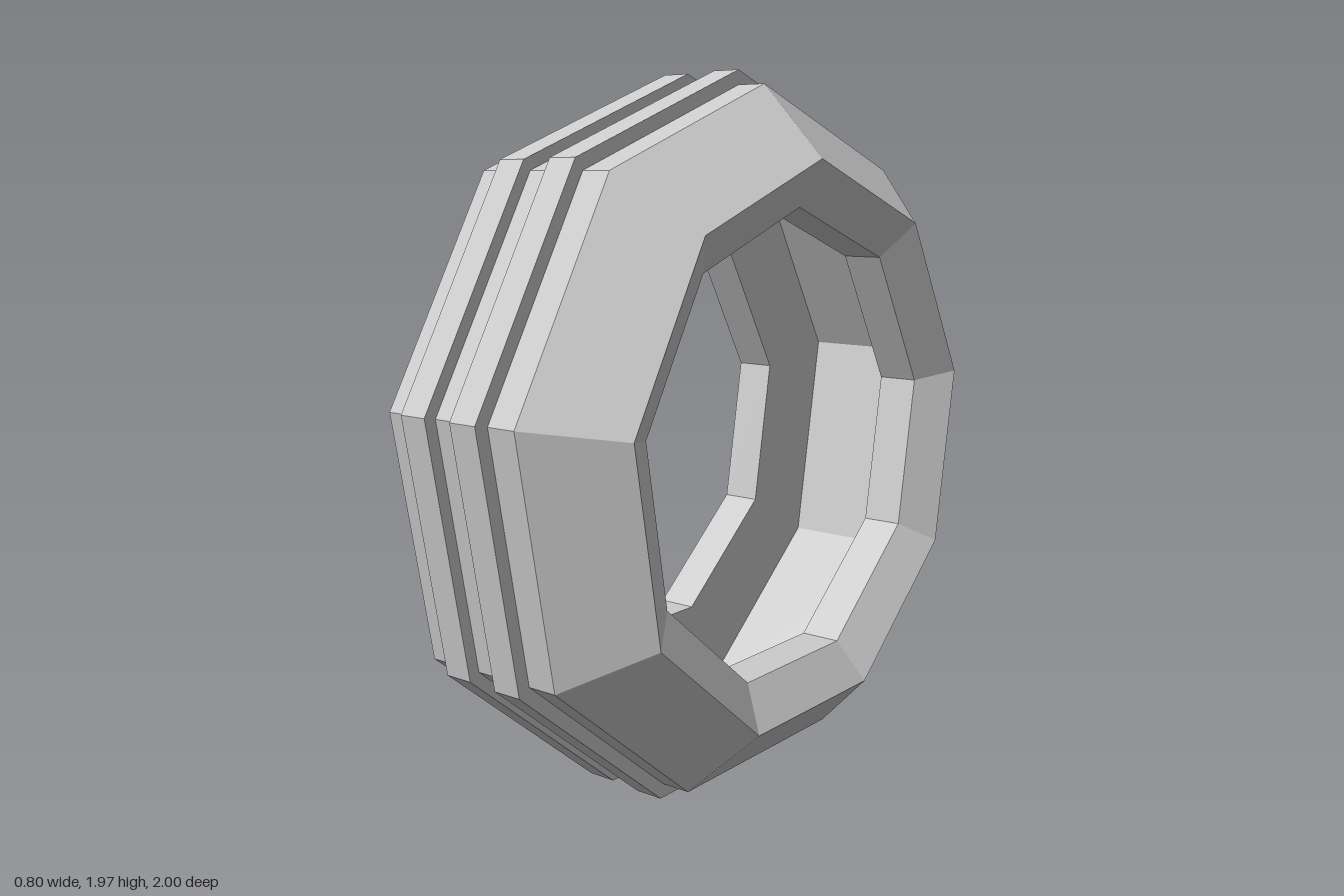
import * as THREE from 'three';

const SIDES = 9;
const CENTRE_Y = 0.954;

// Nine-sided ring around the x axis with one corner on top.
// profile: closed loop of [radius, x], outer side running towards +x.
function ring(name, profile, material) {
  const points = [...profile, profile[0]].map(([r, x]) => new THREE.Vector2(r, x));
  const geometry = new THREE.LatheGeometry(points, SIDES);
  // turn the lathe axis from y to x, and its first corner from z to y
  geometry.applyMatrix4(new THREE.Matrix4().makeBasis(
    new THREE.Vector3(0, 0, 1),
    new THREE.Vector3(1, 0, 0),
    new THREE.Vector3(0, 1, 0)
  ));
  const mesh = new THREE.Mesh(geometry, material);
  mesh.name = name;
  mesh.position.y = CENTRE_Y;
  return mesh;
}

export function createModel() {
  const group = new THREE.Group();
  group.name = 'tyre';
  const material = new THREE.MeshStandardMaterial({ color: 0xcccccc, flatShading: true });

  // Hollow casing: tread, bevelled shoulders, rim lips and inner cavity
  const half = [[0.975, 0.212], [0.777, 0.4], [0.65, 0.33], [0.65, 0.212], [0.945, 0.212]];
  const mirrored = half.map(([r, x]) => [r, -x]).reverse();
  group.add(ring('casing', [...half, ...mirrored], material));

  // Two raised tread ribs
  for (const [name, x0, x1, r] of [
    ['rightTreadRib', -0.13, -0.048, 1.01],
    ['leftTreadRib', 0.043, 0.127, 1.015],
  ]) {
    group.add(ring(name, [[0.96, x0], [r, x0], [r, x1], [0.96, x1]], material));
  }
  return group;
}
